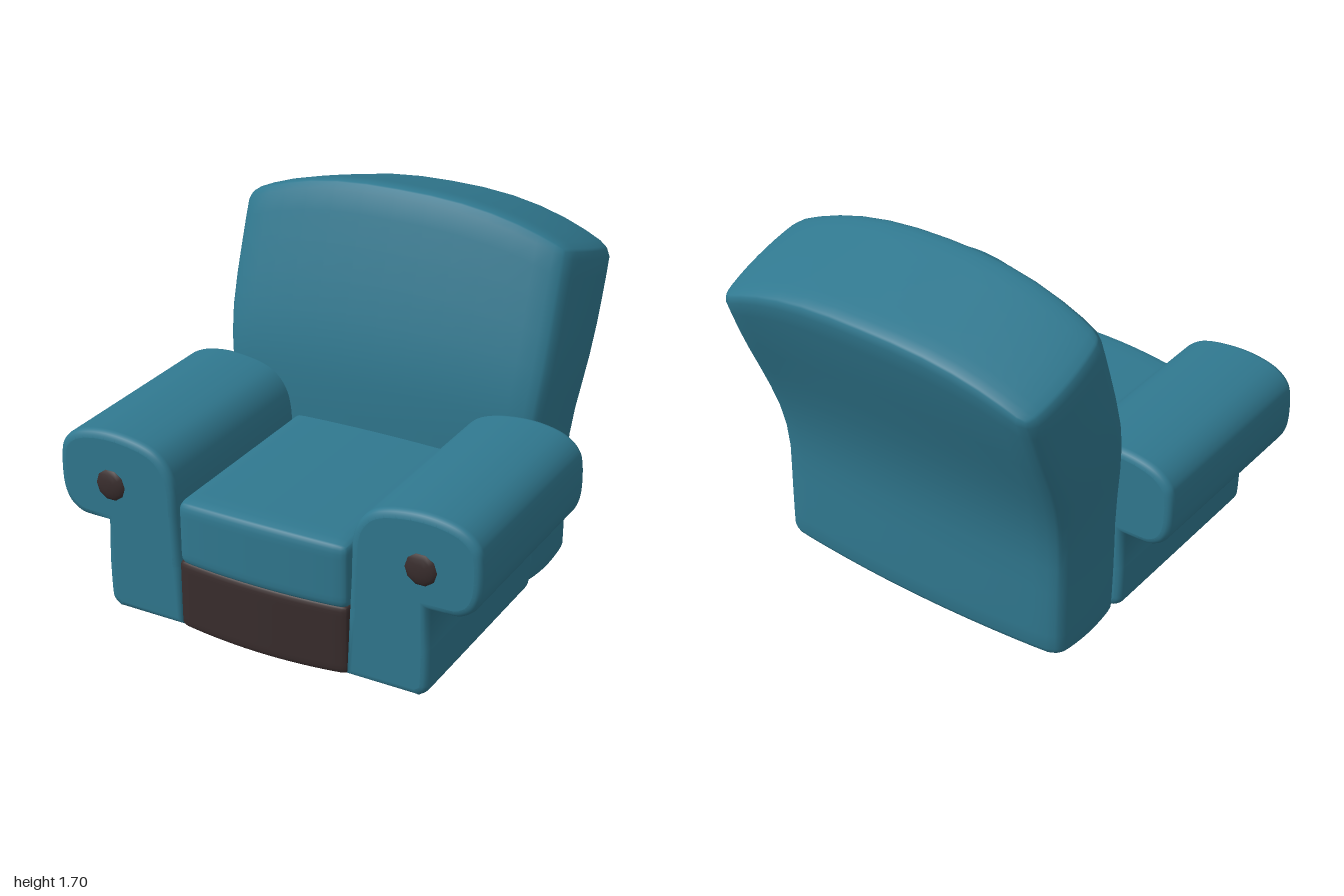
import * as THREE from 'three';
import { mergeVertices } from 'three/addons/utils/BufferGeometryUtils.js';

const fabric = new THREE.MeshStandardMaterial({ color: 0x30788f });
fabric.name = 'teal fabric';
const dark = new THREE.MeshStandardMaterial({ color: 0x392d2d });
dark.name = 'dark brown trim';

// Weld the vertices so that the shading is smooth across edges
function smooth(geometry) {
  geometry.deleteAttribute('uv');
  geometry.deleteAttribute('normal');
  const welded = mergeVertices(geometry, 1e-5);
  welded.computeVertexNormals();
  return welded;
}

// Rounded box with a fine grid, then bent by deform(p, u, v, w), where u, v, w run from -1 to 1
function softBox(width, height, depth, radius, deform) {
  const geometry = new THREE.BoxGeometry(2, 2, 2, 16, 16, 14);
  const half = new THREE.Vector3(width, height, depth).multiplyScalar(0.5);
  const inner = half.clone().subScalar(radius);
  const pos = geometry.attributes.position;
  const p = new THREE.Vector3();
  const core = new THREE.Vector3();
  const ease = (t) => Math.sin((t * Math.PI) / 2);
  for (let i = 0; i < pos.count; i++) {
    p.set(ease(pos.getX(i)), ease(pos.getY(i)), ease(pos.getZ(i))).multiply(half);
    core.copy(p).clamp(inner.clone().negate(), inner);
    p.sub(core).setLength(radius).add(core);
    deform(p, p.x / half.x, p.y / half.y, p.z / half.z);
    pos.setXYZ(i, p.x, p.y, p.z);
  }
  return smooth(geometry);
}

function addMesh(parent, name, geometry, material) {
  const mesh = new THREE.Mesh(geometry, material);
  mesh.name = name;
  parent.add(mesh);
  return mesh;
}

// Leaning backrest: front and back side curves, given as (z, y) from bottom to top
function backrestGeometry() {
  const curve = (pts) => new THREE.SplineCurve(pts.map(([z, y]) => new THREE.Vector2(z, y)));
  const front = curve([[-0.09, 0.02], [-0.08, 0.3], [-0.08, 0.58], [-0.08, 0.85], [-0.115, 1.09], [-0.2, 1.4], [-0.3, 1.72]]);
  const back = curve([[-0.61, 0.02], [-0.61, 0.28], [-0.61, 0.54], [-0.645, 0.77], [-0.715, 1.0], [-0.82, 1.28], [-0.91, 1.56]]);
  return softBox(1.64, 1.7, 0.56, 0.08, (p, u, v, w) => {
    const t = THREE.MathUtils.clamp((v + 1) / 2, 0, 1);
    const f = front.getPoint(t);
    const b = back.getPoint(t);
    const side = 0.775 + 0.045 * THREE.MathUtils.smoothstep(t, 0.3, 0.78);
    p.x = u * side * (1 - 0.035 * w * w);
    // arched top edge, and faces that bulge in the middle
    p.y = THREE.MathUtils.lerp(b.y, f.y, (w + 1) / 2) - 0.17 * Math.abs(u) ** 2.5 * t ** 2;
    p.z = THREE.MathUtils.lerp(b.x, f.x, (w + 1) / 2) - 0.045 * u * u * w;
  });
}

// Scroll-shaped arm section, swept from back to front with soft edges
function armGeometry(side) {
  const at = ([x, y]) => new THREE.Vector2(x * side, y);
  const shape = new THREE.Shape();
  shape.moveTo(0.39 * side, 0.02);
  shape.lineTo(0.405 * side, 0.3);
  shape.splineThru([[0.415, 0.5], [0.42, 0.65], [0.445, 0.74], [0.5, 0.805], [0.58, 0.84], [0.7, 0.858],
    [0.81, 0.855], [0.91, 0.83], [0.975, 0.78], [1.0, 0.71], [1.0, 0.57], [0.97, 0.485], [0.91, 0.44], [0.85, 0.432]].map(at));
  shape.lineTo(0.77 * side, 0.432);
  shape.lineTo(0.778 * side, 0.25);
  shape.splineThru([[0.775, 0.1], [0.765, 0.05], [0.73, 0.02]].map(at));
  shape.closePath();
  const bevel = 0.035;
  const geometry = new THREE.ExtrudeGeometry(shape, {
    depth: 1.0 - 2 * bevel, bevelEnabled: true, bevelThickness: bevel, bevelSize: bevel,
    bevelOffset: -bevel, bevelSegments: 4, curveSegments: 28, steps: 1,
  });
  geometry.translate(0, 0, -0.135 + bevel);
  return smooth(geometry);
}

export function createModel() {
  const chair = new THREE.Group();
  chair.name = 'armchair';

  addMesh(chair, 'backrest', backrestGeometry(), fabric);

  // Seat cushion, puffed at the top and front
  addMesh(chair, 'seatCushion', softBox(0.82, 0.305, 1.06, 0.045, (p, u, v, w) => {
    p.y += 0.4725 + 0.015 * (1 - u * u) * Math.max(v, 0);
    p.z += 0.335 + 0.028 * (1 - u * u) * Math.max(w, 0);
  }), fabric);

  // Dark base below the cushion, bowed at the front and bottom
  addMesh(chair, 'seatBase', softBox(0.82, 0.325, 1.0, 0.03, (p, u, v, w) => {
    p.y += 0.1825 - 0.02 * (1 - u * u) * (1 - 0.5 * w * w) * Math.max(-v, 0);
    p.z += 0.365 + 0.028 * (1 - u * u) * Math.max(w, 0);
  }), dark);

  // Arms with a dark knob in the middle of each scroll
  for (const [name, side] of [['left', 1], ['right', -1]]) {
    addMesh(chair, name + 'Arm', armGeometry(side), fabric);
    const knob = addMesh(chair, name + 'ArmKnob', new THREE.SphereGeometry(0.076, 10, 8), dark);
    knob.rotation.x = Math.PI / 2;
    knob.scale.y = 0.38;
    knob.position.set(0.738 * side, 0.615, 0.857);
  }
  return chair;
}
